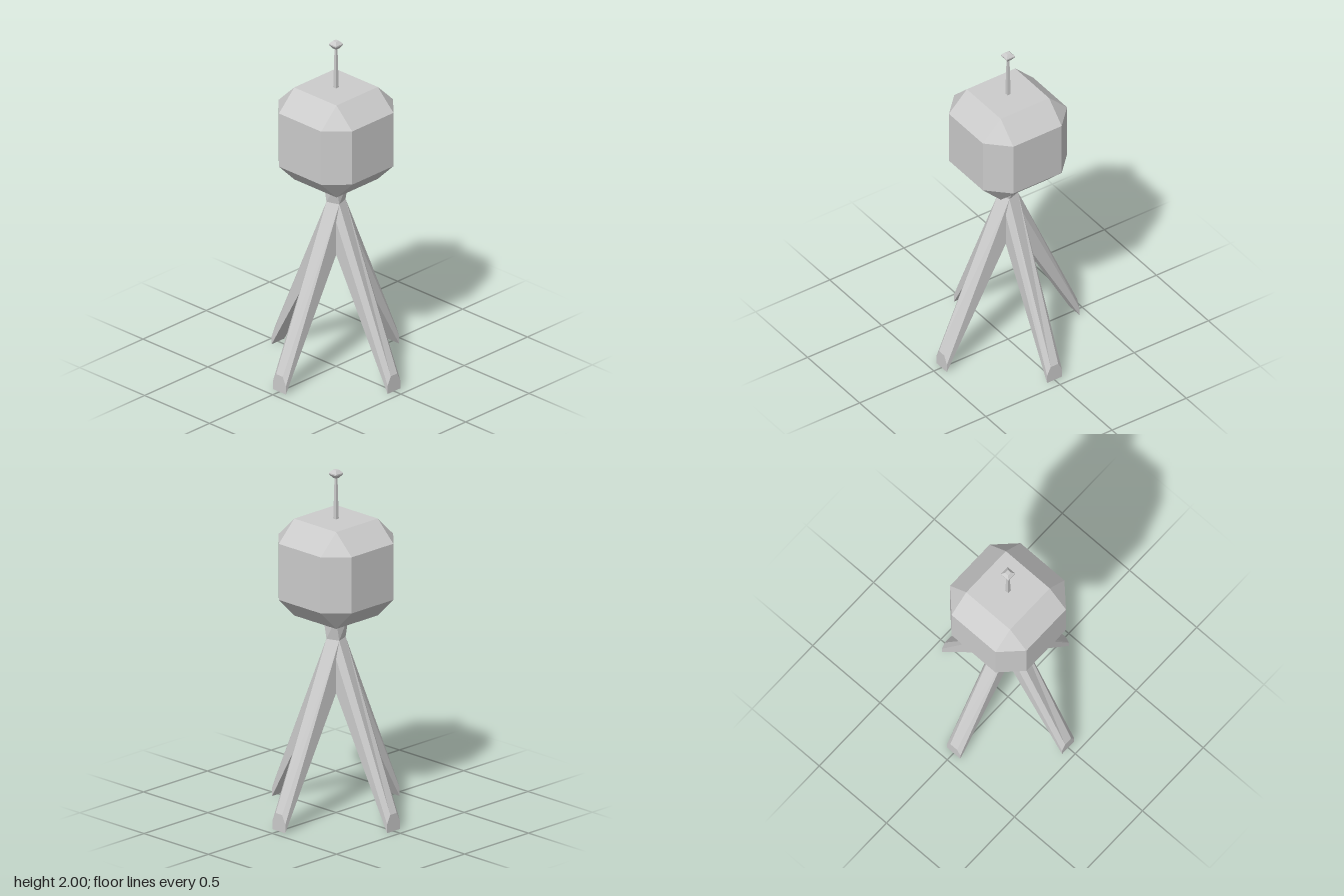
import * as THREE from 'three';
import { ConvexGeometry } from 'three/addons/geometries/ConvexGeometry.js';

const material = new THREE.MeshStandardMaterial({ color: 0xcccccc, flatShading: true });

// Joins two matching rings (counter-clockwise seen from the second ring's end) and caps the second.
function loft(a, b) {
  const n = a.length, index = [];
  for (let i = 0; i < n; i++) {
    const j = (i + 1) % n;
    index.push(i, j, n + j, i, n + j, n + i);
    if (i > 1) index.push(n, n + i - 1, n + i);
  }
  const geometry = new THREE.BufferGeometry();
  geometry.setAttribute('position', new THREE.Float32BufferAttribute([...a, ...b].flat(), 3));
  geometry.setIndex(index);
  const flat = geometry.toNonIndexed();
  flat.computeVertexNormals();
  return flat;
}

export function createModel() {
  const group = new THREE.Group();
  const add = (name, geometry) => {
    const mesh = new THREE.Mesh(geometry, material);
    mesh.name = name;
    group.add(mesh);
    return mesh;
  };

  // Tank: a box with chamfered edges and corners
  const points = [];
  const inner = 0.163, outer = 0.284;
  for (const sx of [-1, 1]) for (const sz of [-1, 1]) {
    for (const y of [1.15, 1.715]) points.push(new THREE.Vector3(sx * inner, y, sz * inner));
    for (const y of [1.27, 1.597]) {
      points.push(new THREE.Vector3(sx * outer, y, sz * inner));
      points.push(new THREE.Vector3(sx * inner, y, sz * outer));
    }
  }
  add('tank', new ConvexGeometry(points));

  // Square mast with a faceted knob
  const profile = [[0.011, 1.71], [0.006, 1.953], [0.012, 1.953], [0.028, 1.975], [0.028, 1.982], [0.012, 2], [0, 2]]
    .map(([r, y]) => new THREE.Vector2(r * Math.SQRT2, y));
  add('mast', new THREE.LatheGeometry(profile, 4, Math.PI / 4));

  // Neck: square on top, slightly turned where it meets the legs
  const neckBottom = [[-0.025, 1.02, 0.05], [0.05, 1.02, 0.025], [0.025, 1.02, -0.05], [-0.05, 1.02, -0.025]];
  const neckTop = [[-0.05, 1.15, 0.05], [0.05, 1.15, 0.05], [0.05, 1.15, -0.05], [-0.05, 1.15, -0.05]];
  add('neck', loft(neckBottom, neckTop));

  // Underside where the legs meet
  const underside = new THREE.PlaneGeometry(0.1, 0.1).rotateX(Math.PI / 2).translate(0, 0.72, 0);
  add('legJoint', underside);

  // Four splayed legs with chamfered upper edges
  const hip = [[-0.05, 0.72, 0.05], [0.05, 0.72, 0.05], [0.05, 1.02, 0.025],
    [0.05, 1.02, 0.025], [-0.025, 1.02, 0.05], [-0.05, 0.92, 0.05]];
  const foot = [[-0.05, 0], [0.05, 0], [0.05, 0.05], [0.025, 0.1], [-0.025, 0.1], [-0.05, 0.05]]
    .map(([x, y]) => [x, y, 0.447]);
  const leg = loft(hip, foot);
  ['frontLeg', 'leftLeg', 'backLeg', 'rightLeg'].forEach((name, i) => {
    add(name, leg).rotation.y = i * Math.PI / 2;
  });

  return group;
}
